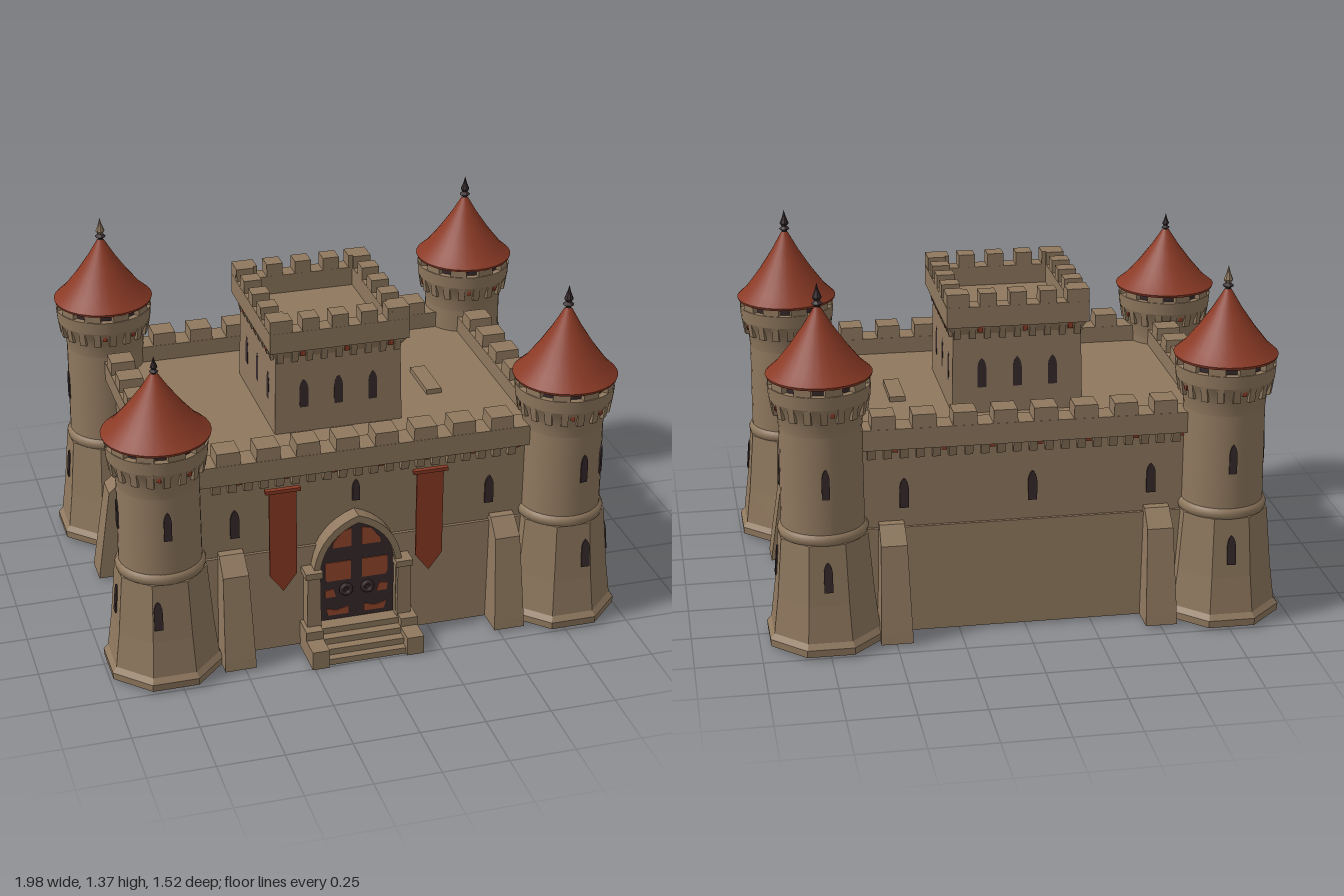
import * as THREE from 'three';

const mat = (name, color) => Object.assign(new THREE.MeshStandardMaterial({ color }), { name });

export function createModel() {
  const stone = mat('stone', 0x8f785e), roofRed = mat('roof red', 0x8b3a25),
    dark = mat('dark iron', 0x36292b), panelRed = mat('door panel red', 0x95472d);
  const root = new THREE.Group();
  root.name = 'castle';

  const group = (name, parent, x = 0, y = 0, z = 0, ry = 0) => {
    const g = new THREE.Group();
    g.name = name;
    g.position.set(x, y, z);
    g.rotation.y = ry;
    parent.add(g);
    return g;
  };
  const add = (parent, name, geo, m, x = 0, y = 0, z = 0) => {
    const mesh = new THREE.Mesh(geo, m);
    mesh.name = name;
    mesh.position.set(x, y, z);
    parent.add(mesh);
    return mesh;
  };
  // box standing on y, with a top that may be narrower or wider
  const block = (parent, name, w, h, d, x, y, z, tx = 1, tz = 1, m = stone) => {
    const geo = new THREE.BoxGeometry(w, h, d), p = geo.attributes.position;
    for (let i = 0; i < p.count; i++) if (p.getY(i) > 0) p.setXYZ(i, p.getX(i) * tx, p.getY(i), p.getZ(i) * tz);
    geo.computeVertexNormals();
    return add(parent, name, geo, m, x, y + h / 2, z);
  };
  const lathe = (pts, seg, flat = false, start = 0) => {
    let geo = new THREE.LatheGeometry(pts.map(p => new THREE.Vector2(...p)), seg, start);
    if (flat) { geo = geo.toNonIndexed(); geo.computeVertexNormals(); }
    return geo;
  };
  // pointed arch outline, standing on y = 0
  const arch = (half, spring, top, C = THREE.Shape) => {
    const s = new C();
    s.moveTo(-half, 0);
    s.lineTo(half, 0);
    s.lineTo(half, spring);
    s.quadraticCurveTo(half * 0.85, spring + (top - spring) * 0.75, 0, top);
    s.quadraticCurveTo(-half * 0.85, spring + (top - spring) * 0.75, -half, spring);
    s.closePath();
    return s;
  };
  const extrude = (shape, depth) => new THREE.ExtrudeGeometry(shape, { depth, bevelEnabled: false, curveSegments: 8 });
  const windowGeo = extrude(arch(0.017, 0.075, 0.115), 0.009);
  const slit = (parent, x, y, z, tilt = 0, sx = 1, sy = 1) => {
    const w = add(parent, 'window', windowGeo, dark, x, y, z);
    w.rotation.x = -tilt;
    w.scale.set(sx, sy, 1);
  };

  // main body: battered lower wall, upper wall and roof terrace
  const body = group('curtainWall', root);
  block(body, 'wallBase', 1.57, 0.41, 1.16, 0, 0.01, 0, 0.972, 0.965);
  block(body, 'wallUpper', 1.5, 0.33, 1.096, 0, 0.42, 0);

  // buttress side profile, sloping back to the wall, slightly narrower at the top
  const bs = new THREE.Shape();
  [[-0.05, 0], [0.15, 0], [0.145, 0.04], [0.095, 0.37], [0.03, 0.43], [-0.05, 0.44]]
    .forEach(([x, y], i) => (i ? bs.lineTo(x, y) : bs.moveTo(x, y)));
  const buttressGeo = extrude(bs, 0.12).translate(0, 0, -0.06).rotateY(-Math.PI / 2);
  const bp = buttressGeo.attributes.position;
  for (let i = 0; i < bp.count; i++) bp.setX(i, bp.getX(i) * (1 - 0.5 * bp.getY(i)));
  buttressGeo.computeVertexNormals();

  // four sides, each built facing local +z
  const sides = [
    { name: 'front', a: 0, d: 0.55, n: 8, len: 1.2, butt: [-0.52, 0.54], up: [-0.5, 0.49], low: [] },
    { name: 'left', a: Math.PI / 2, d: 0.755, n: 5, len: 0.78, butt: [-0.22, 0.178], up: [-0.2, 0, 0.19], low: [-0.33, 0, 0.32] },
    { name: 'back', a: Math.PI, d: 0.55, n: 8, len: 1.2, butt: [-0.5, 0.5], up: [-0.45, 0.03, 0.48], low: [] },
    { name: 'right', a: -Math.PI / 2, d: 0.755, n: 5, len: 0.78, butt: [-0.16, 0.23], up: [-0.19, 0, 0.2], low: [-0.32, 0, 0.33] }
  ];
  for (const s of sides) {
    const g = group(s.name + 'Wall', root, 0, 0, 0, s.a);
    block(g, 'parapet', s.len + 0.12, 0.08, 0.1, 0, 0.735, s.d - 0.018);
    for (let i = 0; i < s.n; i++)
      block(g, 'merlon', 0.092, 0.055, 0.098, (i - (s.n - 1) / 2) * s.len / s.n, 0.81, s.d - 0.018, 0.95, 0.95);
    const nc = Math.round(s.len / 0.06);
    for (let i = 0; i < nc; i++) {
      const x = (i - (nc - 1) / 2) * 0.06;
      block(g, 'corbel', 0.03, 0.042, 0.03, x, 0.695, s.d + 0.002, 1, 1.6);
      if (i % 3 === 1) block(g, 'redStain', 0.02, 0.02, 0.008, x + 0.03, 0.714, s.d - 0.001, 1, 1, roofRed);
    }
    for (const x of s.butt) add(g, 'buttress', buttressGeo, stone, x, 0.01, s.d - 0.005);
    for (const x of s.up) slit(g, x, 0.495, s.d - 0.003);
    for (const x of s.low) slit(g, x, 0.255, s.d + 0.015, 0.05, 1, 0.95);
  }
  slit(root, -0.035, 0.585, 0.547, 0, 0.8, 0.75);
  block(root, 'roofHatch', 0.06, 0.025, 0.21, 0.415, 0.745, 0.0);

  // central keep
  const keep = group('keep', root, -0.02, 0, -0.005);
  block(keep, 'keepWall', 0.5, 0.36, 0.55, 0, 0.74, 0, 0.97, 0.97);
  block(keep, 'keepFlare', 0.485, 0.04, 0.535, 0, 1.06, 0, 1.1, 1.09);
  for (let k = 0; k < 4; k++) {
    const side = k % 2, half = side ? 0.295 : 0.27, dist = side ? 0.27 : 0.295;
    const g = group('keepSide', keep, 0, 0, 0, k * Math.PI / 2);
    block(g, 'keepParapet', half * 2, 0.08, 0.07, 0, 1.095, dist - 0.035);
    for (let i = -2; i <= 2; i++) {
      const w = Math.abs(i) === 2 ? 0.085 : 0.064;
      block(g, 'keepMerlon', w, 0.055, 0.069, i * (half - 0.043) / 2, 1.17, dist - 0.0352);
    }
    for (let i = -4; i <= 4; i++) {
      block(g, 'keepCorbel', 0.024, 0.05, 0.02, i * 0.057, 1.045, dist - 0.026, 1, 1.8);
      if (i % 3 === 0) block(g, 'redStain', 0.018, 0.022, 0.008, i * 0.057 + 0.028, 1.072, dist - 0.01, 1, 1, roofRed);
    }
    for (const i of [-1, 0, 1]) slit(g, i * (side ? 0.16 : 0.135), 0.85, dist - 0.031, 0.02);
  }

  // corner towers
  const oct = 1 / Math.cos(Math.PI / 8);
  const baseGeo = lathe([[0, 0.01], [0.21, 0.012], [0.212, 0.04], [0.196, 0.06], [0.179, 0.2], [0.16, 0.43], [0.14, 0.435]]
    .map(([r, y]) => [r * oct, y]), 8, true, Math.PI / 8);
  const ringGeo = lathe([[0.15, 0.42], [0.165, 0.43], [0.168, 0.448], [0.162, 0.462], [0.15, 0.47]], 32);
  const finialBase = lathe([[0.014, 0], [0.011, 0.02], [0.024, 0.03], [0.011, 0.042]], 8, true);
  const finialTip = lathe([[0.011, 0.042], [0.02, 0.055], [0.008, 0.085], [0, 0.115]], 8, true);
  // up and low are sideways window offsets on the z-facing and x-facing sides
  const towers = [
    { x: -0.78, z: 0.54, dy: -0.025, rr: 0.2, rh: 0.23, fs: 0.7, up: [0, 0], low: [-0.05, 0], tip: dark },
    { x: 0.78, z: 0.54, dy: 0, rr: 0.197, rh: 0.265, fs: 0.9, up: [0.035, -0.09], low: [0.05, -0.055], tip: dark },
    { x: -0.755, z: -0.545, dy: 0.03, rr: 0.194, rh: 0.245, fs: 0.9, up: [0, 0], low: [0, 0], tip: stone },
    { x: 0.752, z: -0.55, dy: 0.04, rr: 0.194, rh: 0.245, fs: 0.9, up: [0, -0.035], low: [0, -0.035], tip: dark }
  ];
  for (const { x, z, dy, rr, rh, fs, up, low, tip } of towers) {
    const t = group('cornerTower', root, x, 0, z);
    add(t, 'towerBase', baseGeo, stone);
    add(t, 'towerRing', ringGeo, stone);
    add(t, 'towerShaft', lathe([[0.155, 0.42], [0.152, 0.8 + dy]], 32), stone);
    add(t, 'towerFlare', lathe([[0.152, 0.8 + dy], [0.156, 0.84 + dy], [0.167, 0.88 + dy], [0.184, 0.915 + dy]], 32), stone);
    add(t, 'towerParapet', lathe([[0.184, 0.915 + dy], [0.188, 0.965 + dy]], 32), stone);
    add(t, 'towerParapetTop', lathe([[0.188, 0.965 + dy], [0.13, 0.967 + dy]], 32), stone);
    add(t, 'lookoutShadow', new THREE.CylinderGeometry(0.165, 0.165, 0.04, 24), dark, 0, 0.98 + dy, 0);
    for (let i = 0; i < 10; i++) {
      const g = group('towerMerlonArm', t, 0, 0, 0, i * Math.PI / 5 + 0.2);
      block(g, 'towerMerlon', 0.064, 0.038, 0.03, 0, 0.96 + dy, 0.168);
    }
    for (let i = 0; i < 18; i++) {
      const g = group('towerCorbelArm', t, 0, 0, 0, i * Math.PI / 9);
      block(g, 'towerCorbel', 0.026, 0.06, 0.02, 0, 0.857 + dy, 0.164, 1, 1.9);
      if (i % 4 === 1) block(g, 'redStain', 0.016, 0.022, 0.008, 0.03, 0.882 + dy, 0.169, 1, 1, roofRed);
    }
    // bell-shaped roof with a closed underside
    const y0 = 1.0 + dy;
    add(t, 'roof', lathe([[rr, y0 + 0.002], [rr * 0.8, y0 + rh * 0.15], [rr * 0.53, y0 + rh * 0.42],
      [rr * 0.27, y0 + rh * 0.72], [0.012, y0 + rh]], 28), roofRed);
    add(t, 'roofEaves', lathe([[0, y0 - 0.002], [rr * 0.98, y0 - 0.008], [rr, y0 + 0.002]], 28, true), roofRed);
    add(t, 'finialBase', finialBase, dark, 0, y0 + rh - 0.015, 0).scale.setScalar(fs);
    add(t, 'finialTip', finialTip, tip, 0, y0 + rh - 0.015, 0).scale.setScalar(fs);
    // windows on the two outward faces
    [z > 0 ? 0 : Math.PI, Math.sign(x) * Math.PI / 2].forEach((a, i) => {
      slit(group('upperWindow', t, 0, 0, 0, a + Math.asin(up[i] / 0.154)), 0, 0.605, 0.148, 0, 0.85);
      slit(group('lowerWindow', t, 0, 0, 0, a), low[i], 0.25, 0.171, 0.08, 0.95);
    });
  }

  // gate: surround, doors, panels, knobs and side piers
  const gate = group('gate', root, -0.042, 0.1, 0);
  const surround = arch(0.17, 0.25, 0.45);
  surround.holes.push(arch(0.147, 0.24, 0.42, THREE.Path));
  add(gate, 'gateSurround', extrude(surround, 0.07), stone, 0, 0, 0.54);
  add(gate, 'doors', extrude(arch(0.149, 0.24, 0.423), 0.04), dark, 0, 0, 0.545);
  const panel = (pts, name) => {
    for (const m of [1, -1]) {
      const s = new THREE.Shape(pts.map(([x, y]) => new THREE.Vector2(x * m, y)));
      add(gate, name, extrude(s, 0.006), panelRed, 0, 0, 0.583);
    }
  };
  panel([[0.02, 0.312], [0.095, 0.312], [0.09, 0.335], [0.055, 0.378], [0.02, 0.388]], 'upperPanel');
  panel([[0.022, 0.17], [0.115, 0.17], [0.122, 0.185], [0.122, 0.25], [0.022, 0.25]], 'middlePanel');
  panel([[0.03, 0.02], [0.11, 0.02], [0.118, 0.05], [0.075, 0.04], [0.03, 0.052]], 'lowerPanel');
  panel([[0.08, 0.1], [0.122, 0.1], [0.122, 0.13], [0.09, 0.135]], 'sidePanel');
  for (const m of [1, -1]) {
    add(gate, 'doorKnob', new THREE.TorusGeometry(0.018, 0.009, 8, 16), dark, m * 0.042, 0.13, 0.594);
    block(gate, 'gatePier', 0.055, 0.22, 0.1, m * 0.176, 0, 0.58, 0.9, 0.95);
    block(gate, 'pierCap', 0.066, 0.025, 0.105, m * 0.176, 0.215, 0.58);
    block(gate, 'stairCheekRear', 0.066, 0.11, 0.12, m * 0.185, -0.1, 0.61);
    block(gate, 'stairCheekFront', 0.066, 0.075, 0.09, m * 0.185, -0.1, 0.71);
  }
  [[0.1, 0.64], [0.075, 0.675], [0.05, 0.71], [0.025, 0.74]].forEach(([h, z]) =>
    block(gate, 'step', 0.32, h, z - 0.53, 0, -0.1, (z + 0.53) / 2));

  // hanging banners with pointed tails
  const cloth = new THREE.Shape([[-0.052, 0.69], [-0.052, 0.335], [0, 0.265], [0.052, 0.335], [0.052, 0.69]]
    .map(p => new THREE.Vector2(...p)));
  for (const x of [-0.328, 0.24]) {
    add(root, 'banner', extrude(cloth, 0.009), roofRed, x, 0, 0.588);
    block(root, 'bannerRod', 0.135, 0.014, 0.02, x, 0.686, 0.595, 1, 1, roofRed);
  }
  return root;
}
